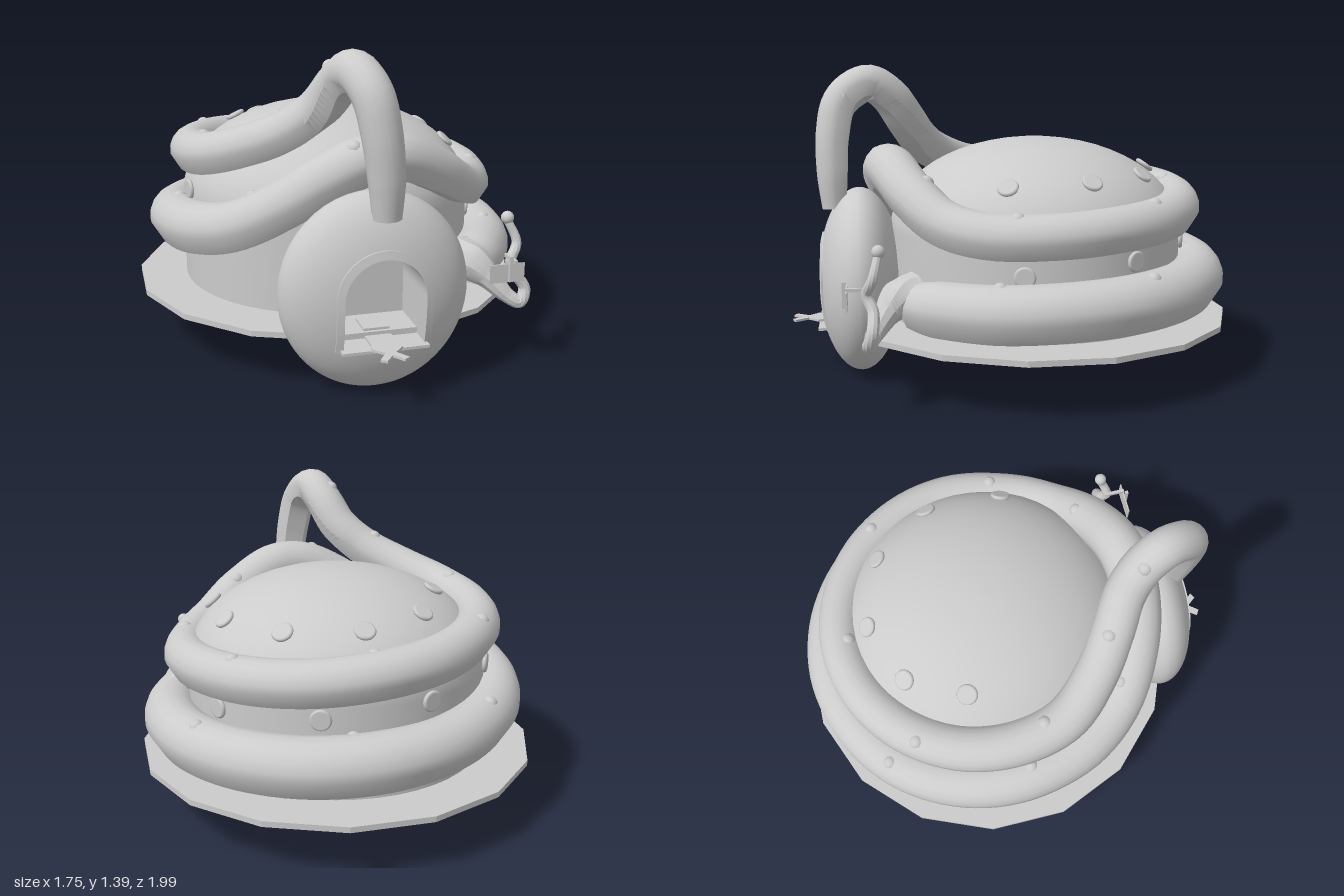
import * as THREE from 'three';
import { toCreasedNormals } from 'three/addons/utils/BufferGeometryUtils.js';

const CZ = -0.12; // z of the dome axis
const V = (x, y, z) => new THREE.Vector3(x, y, z);
const material = new THREE.MeshStandardMaterial({ color: 0xcccccc });
const thinMaterial = new THREE.MeshStandardMaterial({ color: 0xcccccc, side: THREE.DoubleSide });

function add(parent, name, geometry, mat = material) {
  const mesh = new THREE.Mesh(geometry, mat);
  mesh.name = name;
  parent.add(mesh);
  return mesh;
}

// Skin a list of closed loops that share one point count
function loft(loops, crease = 0.6) {
  const m = loops[0].length, index = [];
  for (let i = 0; i < loops.length - 1; i++) {
    for (let j = 0; j < m; j++) {
      const a = i * m + j, b = i * m + (j + 1) % m;
      index.push(a, b, a + m, b, b + m, a + m);
    }
  }
  const g = new THREE.BufferGeometry().setFromPoints(loops.flat());
  g.setIndex(index);
  return toCreasedNormals(g, crease);
}

// Tube with a varying radius; keys are [x, y, z, radius]
function sweep(keys, section, steps, refAt) {
  const curve = new THREE.CatmullRomCurve3(keys.map(k => V(k[0], k[1], k[2])));
  const frame = t => {
    const f = t * (keys.length - 1), i = Math.min(Math.floor(f), keys.length - 2);
    const r = THREE.MathUtils.lerp(keys[i][3], keys[i + 1][3], f - i);
    const p = curve.getPoint(t), tangent = curve.getTangent(t);
    const side = refAt(t).cross(tangent).normalize();
    const up = tangent.clone().cross(side);
    return { r, p, side, up };
  };
  const loops = [];
  for (let i = 0; i <= steps; i++) {
    const { r, p, side, up } = frame(i / steps);
    const ring = section.map(a => p.clone()
      .addScaledVector(side, r * Math.cos(a)).addScaledVector(up, r * Math.sin(a)));
    if (i === 0) loops.push(ring.map(() => p.clone()));
    loops.push(ring);
    if (i === steps) loops.push(ring.map(() => p.clone()));
  }
  return { geometry: loft(loops), frame };
}

// Height of the flattened dome at a distance from its axis
const domeY = r => 0.655 + 0.41 * Math.sqrt(Math.max(0, 1 - (r / 0.67) ** 2));

function buildDome(root) {
  const base = add(root, 'basePlate', toCreasedNormals(
    new THREE.CylinderGeometry(0.892, 0.892, 0.025, 16), 0.2));
  base.rotation.y = Math.PI / 16;
  base.position.set(0, 0.248, CZ);

  const profile = [new THREE.Vector2(0.67, 0.25)];
  for (let i = 0; i <= 14; i++) {
    const a = i / 14 * Math.PI / 2;
    profile.push(new THREE.Vector2(0.67 * Math.cos(a), 0.655 + 0.41 * Math.sin(a)));
  }
  add(root, 'domedHall', new THREE.LatheGeometry(profile, 48)).position.z = CZ;
}

function porthole(root, p, normal) {
  const g = new THREE.Group();
  g.name = 'porthole';
  add(g, 'portholeRim', new THREE.TorusGeometry(0.036, 0.01, 8, 20));
  add(g, 'portholePane', new THREE.CylinderGeometry(0.036, 0.036, 0.02, 20)).rotation.x = Math.PI / 2;
  g.position.copy(p).addScaledVector(normal, 0.012);
  g.lookAt(g.position.clone().add(normal));
  root.add(g);
}

function buildPortholes(root) {
  // On the dome
  for (const [x, z] of [[-0.395, -0.28], [-0.26, -0.525], [0.02, -0.635], [0.33, -0.535], [0.52, -0.27], [0.52, 0.08]]) {
    const r = Math.hypot(x, z - CZ), y = domeY(r);
    porthole(root, V(x, y, z), V(x / 0.449, (y - 0.655) / 0.168, (z - CZ) / 0.449).normalize());
  }
  // On the wall between the coils
  for (const [deg, y] of [[77, 0.54], [119, 0.58], [160, 0.61], [200, 0.645], [240, 0.68], [282, 0.71]]) {
    const a = THREE.MathUtils.degToRad(deg), n = V(Math.sin(a), 0, Math.cos(a));
    porthole(root, V(0.665 * n.x, y, CZ + 0.665 * n.z), n);
  }
}

function buildBody(root) {
  // Coil as [degrees, radius, height, thickness], zero degrees at the front
  const coil = [
    [40, 0.76, 0.40, 0.1], [50, 0.76, 0.40, 0.12], [70, 0.755, 0.40, 0.125], [90, 0.75, 0.41, 0.125], [112, 0.75, 0.42, 0.125],
    [135, 0.75, 0.43, 0.125], [158, 0.75, 0.44, 0.125], [180, 0.745, 0.455, 0.125], [202, 0.735, 0.47, 0.12],
    [225, 0.725, 0.49, 0.12], [248, 0.715, 0.515, 0.12], [270, 0.71, 0.545, 0.12], [295, 0.71, 0.575, 0.12],
    [315, 0.71, 0.63, 0.115], [332, 0.70, 0.74, 0.11], [346, 0.69, 0.85, 0.11], [360, 0.68, 0.925, 0.11],
    [373, 0.675, 0.925, 0.11], [390, 0.675, 0.84, 0.105], [407, 0.675, 0.74, 0.1], [425, 0.675, 0.70, 0.1],
    [450, 0.675, 0.705, 0.1], [472, 0.67, 0.72, 0.1], [495, 0.665, 0.735, 0.1], [518, 0.66, 0.755, 0.1],
    [540, 0.655, 0.78, 0.1], [562, 0.645, 0.80, 0.1], [585, 0.635, 0.82, 0.1], [608, 0.63, 0.835, 0.1],
    [630, 0.625, 0.855, 0.1], [652, 0.62, 0.885, 0.1]];
  const keys = coil.map(([deg, R, y, r]) => {
    const a = THREE.MathUtils.degToRad(deg);
    return [R * Math.sin(a), y, CZ + R * Math.cos(a), r];
  });
  // Neck arching over to the head
  keys.push([-0.43, 0.95, 0.28, 0.097], [-0.28, 1.03, 0.39, 0.095], [-0.17, 1.13, 0.46, 0.092],
    [-0.11, 1.245, 0.54, 0.09], [-0.075, 1.305, 0.64, 0.088], [-0.035, 1.235, 0.755, 0.085],
    [-0.005, 1.08, 0.795, 0.082], [0.015, 0.9, 0.8, 0.075], [0.02, 0.75, 0.795, 0.06]);

  // Rounded back and faceted belly
  const section = [];
  for (let i = 0; i <= 10; i++) section.push(i / 10 * (Math.PI + 0.3) - 0.15);
  section.push(Math.PI * 1.3, Math.PI * 1.7);
  const last = keys.length - 1;
  const body = sweep(keys, section, 240, t => {
    const s = THREE.MathUtils.smoothstep(t * last, last - 5, last - 3);
    return V(0, 1 - s, s);
  });
  add(root, 'coiledBody', body.geometry);

  // Small bumps along the back
  for (let i = 0; i < 15; i++) {
    const { p, r, side, up } = body.frame((i * 2.3 + 2) / last);
    const a = Math.PI / 2 + 0.5 * Math.sin(i * 2.4);
    add(root, 'bodyBump', new THREE.SphereGeometry(0.034, 12, 8)).position.copy(p)
      .addScaledVector(side, (r - 0.023) * Math.cos(a)).addScaledVector(up, (r - 0.023) * Math.sin(a));
  }
}

function buildTail(root) {
  const section = Array.from({ length: 10 }, (_, i) => i / 10 * Math.PI * 2);
  const keys = [[0.46, 0.44, 0.46, 0.1], [0.50, 0.43, 0.53, 0.088], [0.55, 0.385, 0.585, 0.055], [0.62, 0.31, 0.64, 0.033],
    [0.67, 0.285, 0.66, 0.028], [0.695, 0.34, 0.645, 0.026], [0.64, 0.42, 0.64, 0.024], [0.615, 0.48, 0.665, 0.023],
    [0.65, 0.55, 0.64, 0.021], [0.615, 0.645, 0.615, 0.018]];
  add(root, 'tailTip', sweep(keys, section, 60, () => V(0.5, 0.2, -0.8)).geometry);
  add(root, 'tailBall', new THREE.SphereGeometry(0.028, 16, 12)).position.set(0.615, 0.655, 0.615);

  // Small hanging board on a bracket
  add(root, 'signBoard', new THREE.BoxGeometry(0.155, 0.08, 0.006)).position.set(0.563, 0.455, 0.745);
  add(root, 'signArm', new THREE.BoxGeometry(0.015, 0.015, 0.1)).position.set(0.6, 0.5, 0.7);
  add(root, 'signHook', new THREE.BoxGeometry(0.015, 0.11, 0.015)).position.set(0.575, 0.475, 0.755);
}

function buildHead(root) {
  const head = new THREE.Group();
  head.name = 'head';
  root.add(head);
  const [cy, cz, rx, ry, rz] = [0.42, 0.69, 0.4, 0.42, 0.19];
  const onFace = (x, y, lift = 0) =>
    V(x, y, cz + lift + rz * Math.sqrt(Math.max(0, 1 - (x / rx) ** 2 - ((y - cy) / ry) ** 2)));

  // Outline of an arched doorway, sampled along rays from the head centre
  const rays = Array.from({ length: 96 }, (_, i) => i / 96 * Math.PI * 2);
  const arch = (w, bottom, spring) => rays.map(a => {
    let lo = 0, hi = 0.5;
    for (let k = 0; k < 20; k++) {
      const d = (lo + hi) / 2, x = d * Math.cos(a), y = cy + d * Math.sin(a);
      const inside = Math.abs(x) < w && y > bottom && (y < spring || x * x + (y - spring) ** 2 < w * w);
      if (inside) lo = d; else hi = d;
    }
    return [lo * Math.cos(a), cy + lo * Math.sin(a)];
  });
  const door = arch(0.168, 0.228, 0.435), frame = arch(0.198, 0.218, 0.44);

  // Face surface from its rim to the doorway, then the recess and its back wall
  const loops = [];
  for (let i = 0; i <= 12; i++) {
    const s = Math.cos(i / 12 * Math.PI / 2);
    loops.push(door.map(([x, y], j) => onFace(
      THREE.MathUtils.lerp(x, rx * Math.cos(rays[j]), s),
      THREE.MathUtils.lerp(y, cy + ry * Math.sin(rays[j]), s))));
  }
  loops.push(door.map(([x, y]) => V(x, y, 0.57)), door.map(() => V(0, cy, 0.57)));
  add(head, 'headFront', loft(loops), thinMaterial);

  const back = new THREE.SphereGeometry(1, 48, 16, 0, Math.PI * 2, 0, Math.PI / 2);
  back.rotateX(-Math.PI / 2).scale(rx, ry, rz);
  add(head, 'headBack', back).position.set(0, cy, cz);

  // Slightly raised door surround
  add(head, 'doorSurround', loft([
    frame.map(([x, y]) => onFace(x, y, -0.005)), frame.map(([x, y]) => onFace(x, y, 0.007)),
    door.map(([x, y]) => onFace(x, y, 0.007)), door.map(([x, y]) => onFace(x, y, -0.005))]), thinMaterial);

  add(head, 'doorSill', new THREE.BoxGeometry(0.36, 0.012, 0.31)).position.set(0, 0.23, 0.725);

  // Forked tongue lying on the sill
  const half = [[0.055, 0.62], [0.055, 0.84], [0.065, 0.885], [0.022, 0.93], [0.06, 0.985], [0.035, 1.0]];
  const outline = [...half, [0, 0.955], ...half.map(([x, z]) => [-x, z]).reverse()];
  const tongue = new THREE.ExtrudeGeometry(
    new THREE.Shape(outline.map(([x, z]) => new THREE.Vector2(x, z))), { depth: 0.01, bevelEnabled: false });
  add(head, 'tongue', tongue.rotateX(Math.PI / 2)).position.y = 0.246;
  add(head, 'tongueRoot', new THREE.BoxGeometry(0.11, 0.025, 0.12)).position.set(0, 0.258, 0.68);
}

export function createModel() {
  const root = new THREE.Group();
  root.name = 'coiledSerpentHouse';
  buildDome(root);
  buildPortholes(root);
  buildBody(root);
  buildTail(root);
  buildHead(root);
  return root;
}
